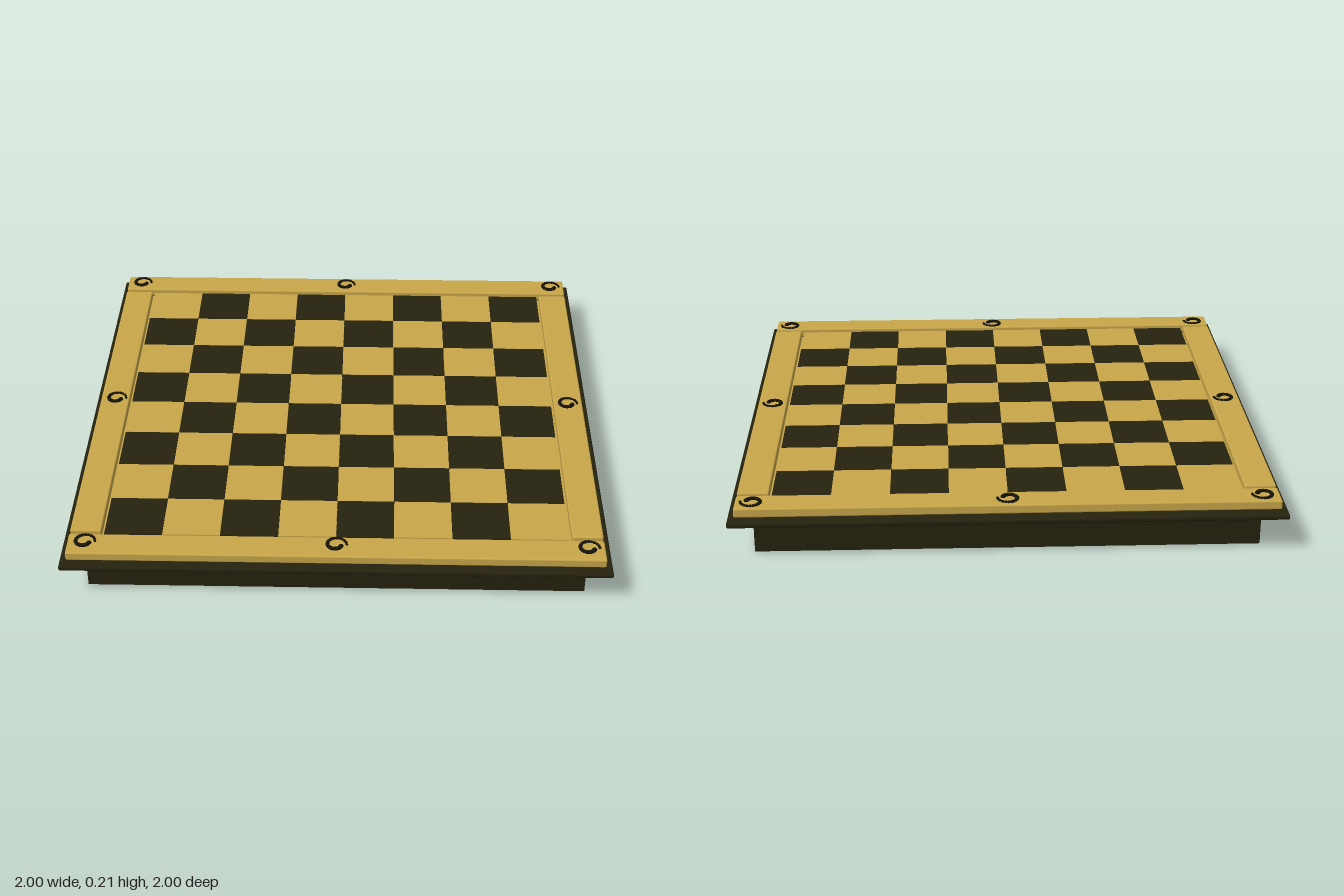
import * as THREE from 'three';
import { RoundedBoxGeometry } from 'three/addons/geometries/RoundedBoxGeometry.js';
import { mergeGeometries } from 'three/addons/utils/BufferGeometryUtils.js';

export function createModel() {
  const board = new THREE.Group();
  board.name = 'chessBoard';

  const gold = new THREE.MeshStandardMaterial({ color: 0xc9a84a });
  gold.name = 'gold wood';
  const dark = new THREE.MeshStandardMaterial({ color: 0x25220f });
  dark.name = 'dark wood';
  const black = new THREE.MeshStandardMaterial({ color: 0x14120a });
  black.name = 'black ornament';

  // Box spanning y0..y1, optionally with softened edges
  function slab(name, material, w, d, y0, y1, x = 0, z = 0, radius = 0) {
    const h = y1 - y0;
    const geometry = radius
      ? new RoundedBoxGeometry(w, h, d, 3, radius)
      : new THREE.BoxGeometry(w, h, d);
    const mesh = new THREE.Mesh(geometry, material);
    mesh.name = name;
    mesh.position.set(x, (y0 + y1) / 2, z);
    board.add(mesh);
    return mesh;
  }

  // Plinth, trim and overhanging plate
  slab('base', dark, 1.826, 1.826, 0, 0.125);
  slab('baseTrim', gold, 1.85, 1.85, 0.125, 0.135);
  slab('plate', dark, 2, 2, 0.135, 0.155, 0, 0, 0.007);
  slab('boardFloor', gold, 1.75, 1.75, 0.154, 0.158);

  // Border rails
  for (const s of [-1, 1]) {
    slab(s > 0 ? 'frontRail' : 'backRail', gold, 1.95, 0.112, 0.165, 0.2, 0, s * 0.919, 0.006);
    slab(s > 0 ? 'leftRail' : 'rightRail', gold, 0.115, 1.69, 0.165, 0.2, s * 0.9175, 0, 0.006);
  }

  // Eight by eight squares
  const size = 0.2125;
  for (let row = 0; row < 8; row++) {
    for (let col = 0; col < 8; col++) {
      const isDark = (row + col) % 2 === 1;
      slab(isDark ? 'darkSquare' : 'lightSquare', isDark ? dark : gold,
        size - 0.001, size - 0.001, 0.166, 0.19, (col - 3.5) * size, (row - 3.5) * size);
    }
  }

  // Spiral of flattened beads, shrinking towards the tail
  const beads = [];
  const count = 20;
  for (let i = 0; i < count; i++) {
    const t = i / (count - 1);
    const angle = Math.PI * (0.15 + 1.85 * t);
    const r = 0.022 + 0.018 * t;
    const bead = new THREE.SphereGeometry(0.0095 - 0.004 * t, 10, 8);
    bead.scale(1, 0.75, 1);
    bead.translate(r * Math.cos(angle), 0, r * Math.sin(angle));
    beads.push(bead);
  }
  const spiral = mergeGeometries(beads);

  // Ornaments on the corners and rail middles
  for (const x of [-1, 0, 1]) {
    for (const z of [-1, 0, 1]) {
      if (x === 0 && z === 0) continue;
      const ornament = new THREE.Mesh(spiral, black);
      ornament.name = 'spiralOrnament';
      ornament.position.set(x * 0.914, 0.203, z * 0.914 - 0.006);
      board.add(ornament);
    }
  }

  return board;
}
